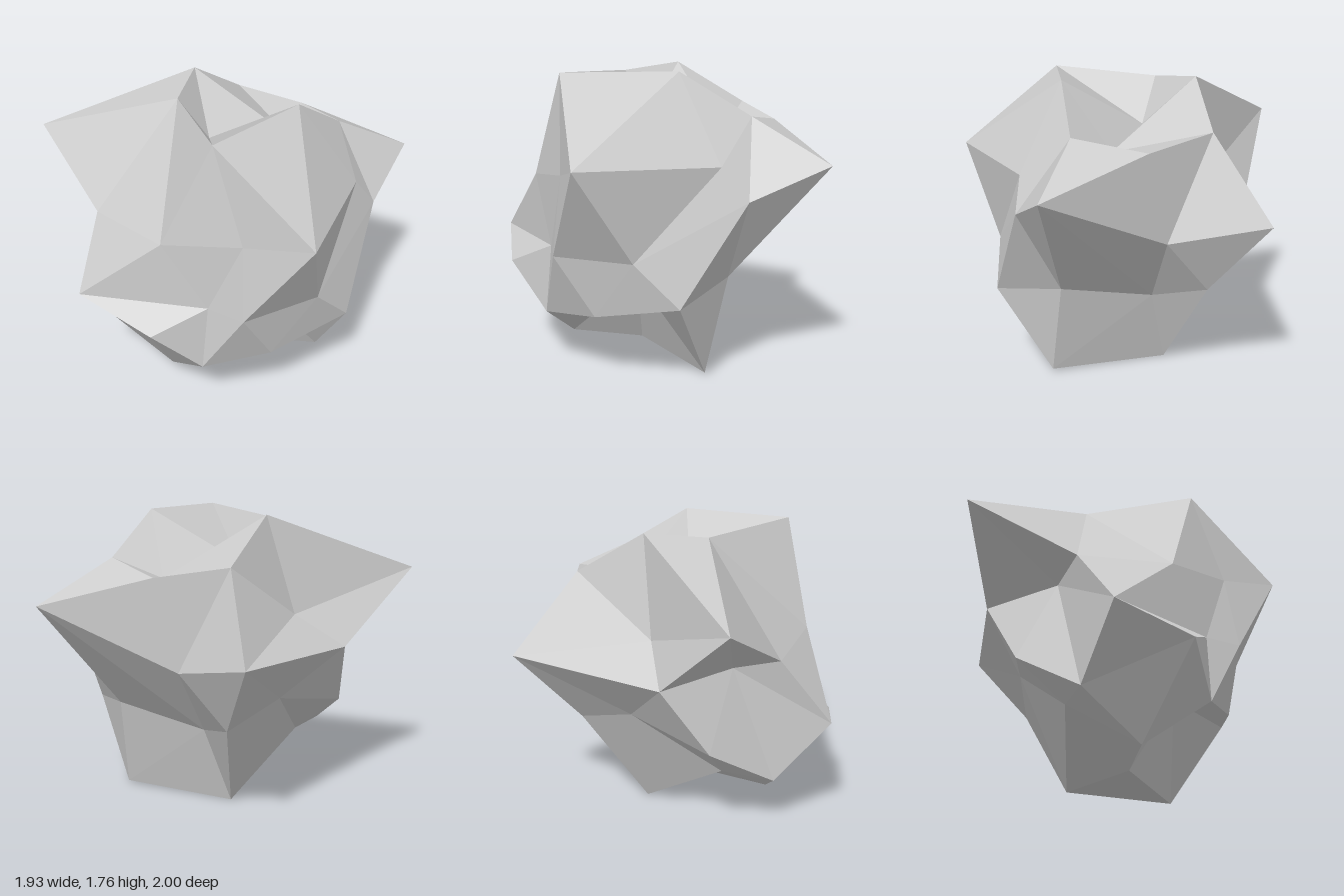
import * as THREE from 'three';

// Cross-section loops from top to bottom; every loop runs from +x towards +z.
const top = [-0.055, 1.45, -0.07];
const crown = [
  [0.385, 1.385, 0.19], [0.13, 1.76, 0.44], [-0.54, 1.75, 0.40],
  [-0.20, 1.72, -0.18], [0.13, 1.76, -0.355],
];
const shoulder = [
  [0.71, 1.446, 0.04], [0.54, 1.51, 0.44], [0.36, 1.27, 0.71], [-0.42, 1.295, 1.0],
  [-0.525, 1.2, 0.60], [-0.725, 1.13, 0.175], [-0.687, 1.10, -0.387],
  [-0.555, 1.42, -1.0], [0.04, 1.18, -0.50], [0.545, 1.51, -0.355],
];
const waist = [
  [0.965, 1.27, 0.66], [0.51, 1.085, 0.75], [-0.115, 0.755, 0.82], [-0.57, 0.75, 0.65],
  [-0.61, 0.75, 0.42], [-0.97, 0.71, -0.27], [-0.42, 1.04, -0.42],
  [-0.10, 0.987, -0.765], [0.86, 1.04, -0.62], [0.65, 0.906, -0.078],
];
const hip = [
  [0.34, 0.479, -0.056], [0.42, 0.59, 0.50], [0.14, 0.51, 0.86], [-0.34, 0.40, 0.67],
  [-0.65, 0.34, 0.41], [-0.88, 0.60, 0.223], [-0.66, 0.33, -0.35],
  [-0.35, 0.58, -0.634], [0.18, 0.70, -0.48], [0.56, 0.58, -0.34],
];
const foot = [
  [0.29, 0.015, 0.548], [-0.11, 0.55, 0.42], [-0.53, 0.085, 0.04],
  [-0.34, 0.34, -0.34], [0.20, 0.0, -0.163],
];
const bottom = [-0.09, 0.08, 0.13];

// Stitch the loops into a closed, once-subdivided icosahedron.
function rockGeometry() {
  const points = [];
  const face = (a, b, c) => points.push(...a, ...b, ...c);
  const at = (ring, i) => ring[(i + ring.length) % ring.length];

  for (let k = 0; k < 5; k++) {
    const c = crown[k], cNext = at(crown, k + 1);
    const f = foot[k], fNext = at(foot, k + 1);
    const j = 2 * k;
    // top cap and crown band
    face(top, cNext, c);
    face(c, shoulder[j], at(shoulder, j - 1));
    face(c, shoulder[j + 1], shoulder[j]);
    face(c, cNext, shoulder[j + 1]);
    // foot band and bottom cap
    face(hip[j], hip[j + 1], f);
    face(hip[j + 1], at(hip, j + 2), f);
    face(at(hip, j + 2), fNext, f);
    face(f, fNext, bottom);
  }
  // two zigzag bands around the middle
  for (let j = 0; j < 10; j++) {
    face(shoulder[j], waist[j], at(waist, j - 1));
    face(shoulder[j], at(shoulder, j + 1), waist[j]);
    face(waist[j], at(hip, j + 1), hip[j]);
    face(waist[j], at(waist, j + 1), at(hip, j + 1));
  }

  const geometry = new THREE.BufferGeometry();
  geometry.setAttribute('position', new THREE.Float32BufferAttribute(points, 3));
  geometry.computeVertexNormals();
  return geometry;
}

export function createModel() {
  const model = new THREE.Group();
  model.name = 'lowPolyRock';
  const material = new THREE.MeshStandardMaterial({ color: 0xcccccc, flatShading: true });
  const rock = new THREE.Mesh(rockGeometry(), material);
  rock.name = 'rock';
  model.add(rock);
  return model;
}
